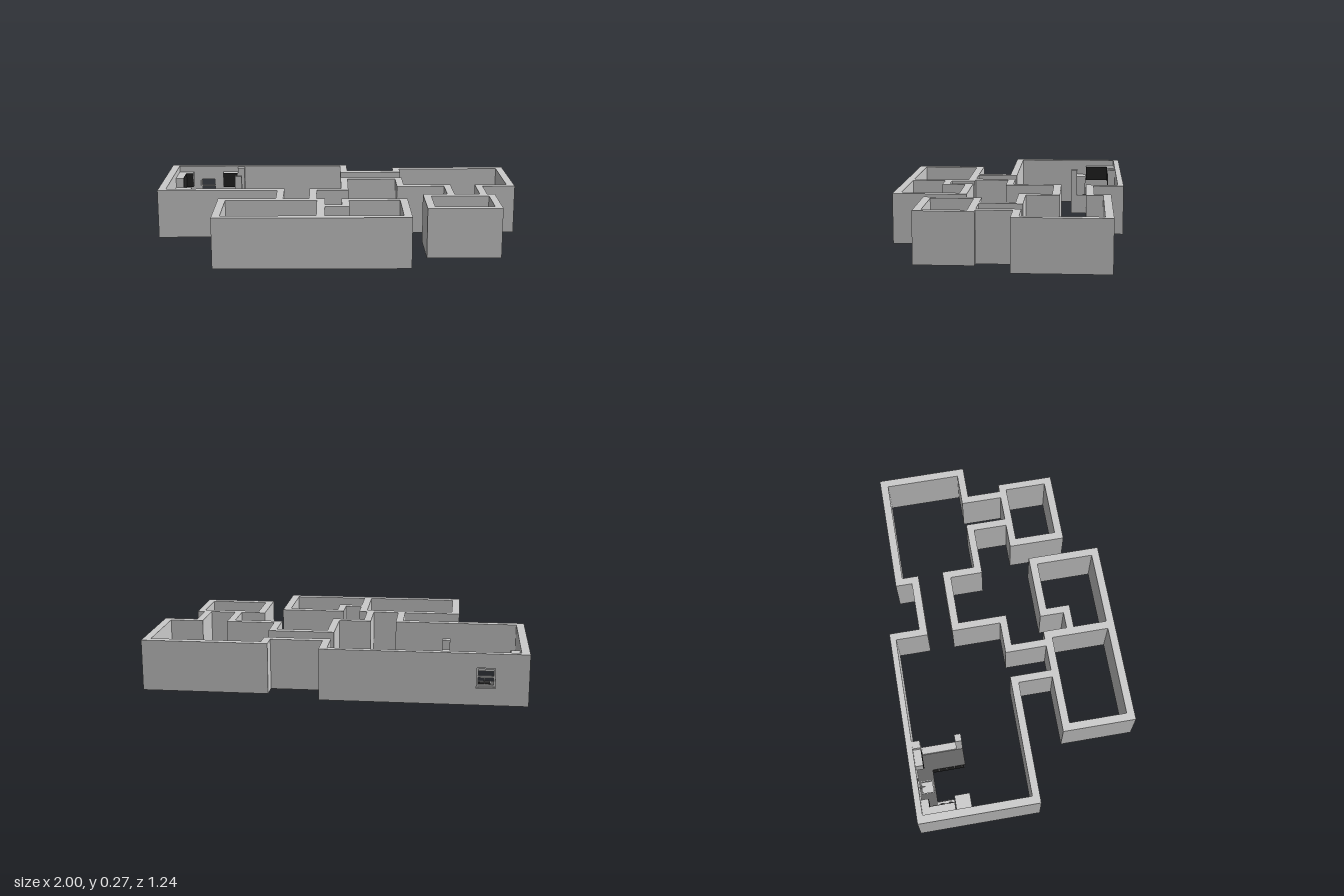
import * as THREE from 'three';

const H = 0.27; // wall height

const mat = (color) => new THREE.MeshStandardMaterial({ color, flatShading: true });
const grey = mat(0xcccccc);
const worktop = mat(0x606060);
const dark = mat(0x222222);

const points = (list) => list.map(([x, y]) => new THREE.Vector2(x, y));
const rect = (x0, y0, x1, y1) => [[x0, y0], [x1, y0], [x1, y1], [x0, y1]];

// Plan outline (x, z) with holes, raised from y0 to y1
function plan(name, outline, holes, y0, y1, material) {
  const shape = new THREE.Shape(points(outline));
  holes.forEach((h) => shape.holes.push(new THREE.Path(points(h))));
  const geo = new THREE.ExtrudeGeometry(shape, { depth: y1 - y0, bevelEnabled: false });
  geo.rotateX(Math.PI / 2).translate(0, y1, 0);
  const mesh = new THREE.Mesh(geo, material);
  mesh.name = name;
  return mesh;
}

// Box given by its limits on each axis
function box(name, [x0, x1], [y0, y1], [z0, z1], material = grey) {
  const mesh = new THREE.Mesh(new THREE.BoxGeometry(x1 - x0, y1 - y0, z1 - z0), material);
  mesh.position.set((x0 + x1) / 2, (y0 + y1) / 2, (z0 + z1) / 2);
  mesh.name = name;
  return mesh;
}

function createWalls() {
  const walls = new THREE.Group();
  walls.name = 'walls';
  // Big rooms and corridors: round the outside, then back along the inside;
  // the gap in the back wall is closed by the window panel
  const hallAndRooms = [
    [-0.65, -0.615], [0.06, -0.615], [0.06, -0.45], [0.335, -0.45], [0.335, -0.54], [1, -0.54],
    [1, -0.053], [0.818, -0.053], [0.818, 0.13], [0.778, 0.13], [0.778, -0.093], [0.958, -0.093],
    [0.958, -0.498], [0.375, -0.498], [0.375, -0.408], [0.02, -0.408], [0.02, -0.583], [-0.65, -0.583],
  ];
  const southRun = [
    [-0.9, -0.615], [-0.9, -0.583], [-0.957, -0.583], [-0.957, -0.005], [-0.295, -0.005], [-0.295, 0.22],
    [-0.335, 0.22], [-0.335, 0.035], [-1, 0.035], [-1, -0.615],
  ];
  const middleRun = [
    [-0.155, 0.22], [-0.155, -0.005], [0.02, -0.005], [0.02, -0.272], [0.375, -0.272], [0.375, -0.093],
    [0.64, -0.093], [0.64, 0.13], [0.6, 0.13], [0.6, -0.053], [0.335, -0.053], [0.335, -0.23],
    [0.06, -0.23], [0.06, 0.035], [-0.115, 0.035], [-0.115, 0.22],
  ];
  walls.add(
    plan('northEastWalls', hallAndRooms, [], 0, H, grey),
    plan('westWalls', southRun, [], 0, H, grey),
    plan('middleWalls', middleRun, [], 0, H, grey),
    plan('smallRoomWalls', rect(0.466, 0.13, 0.86, 0.436), [rect(0.508, 0.17, 0.822, 0.394)], 0, H, grey),
    plan('frontRoomWalls', [
      [-0.645, 0.22], [-0.07, 0.22], [-0.07, 0.35], [0.02, 0.35], [0.02, 0.22], [0.375, 0.22],
      [0.375, 0.615], [-0.645, 0.615],
    ], [
      rect(-0.603, 0.262, -0.113, 0.573),
      [[-0.07, 0.39], [0.06, 0.39], [0.06, 0.262], [0.333, 0.262], [0.333, 0.573], [-0.07, 0.573]],
    ], 0, H, grey),
  );
  // Back wall panel with the window opening
  const panel = new THREE.Shape(points(rect(-0.9, 0, -0.65, H)));
  panel.holes.push(new THREE.Path(points(rect(-0.83, 0.095, -0.737, 0.195))));
  const geo = new THREE.ExtrudeGeometry(panel, { depth: 0.032, bevelEnabled: false });
  const mesh = new THREE.Mesh(geo.translate(0, 0, -0.615), grey);
  mesh.name = 'windowWall';
  walls.add(mesh);
  return walls;
}

function createWindow() {
  const win = new THREE.Group();
  win.name = 'window';
  const z = [-0.606, -0.592];
  win.add(box('windowSill', [-0.833, -0.734], [0.091, 0.097], [-0.622, -0.585]));
  for (const y of [0.097, 0.142, 0.187]) win.add(box('windowRail', [-0.83, -0.737], [y, y + 0.008], z));
  for (const x of [-0.83, -0.745]) win.add(box('windowStile', [x, x + 0.008], [0.097, 0.195], z));
  return win;
}

function createKitchen() {
  const kitchen = new THREE.Group();
  kitchen.name = 'kitchen';
  const sink = rect(-0.808, -0.568, -0.747, -0.512);

  // Base cabinets with dark doors
  kitchen.add(
    box('backBaseCabinet', [-0.957, -0.6], [0, 0.055], [-0.583, -0.505]),
    box('backBaseDoors', [-0.865, -0.69], [0.01, 0.085], [-0.505, -0.501], dark),
    box('peninsulaCabinet', [-0.682, -0.6], [0, 0.087], [-0.505, -0.325]),
    box('peninsulaDoors', [-0.686, -0.682], [0.01, 0.085], [-0.5, -0.328], dark),
  );
  for (let i = 0; i < 4; i++) {
    const z = -0.465 + i * 0.042;
    kitchen.add(box('doorHandle', [-0.694, -0.686], [0.066, 0.07], [z - 0.003, z + 0.003]));
  }

  // Worktop running along the back and down the peninsula, with the sink cut out
  kitchen.add(
    plan('worktop', [
      [-0.957, -0.583], [-0.6, -0.583], [-0.6, -0.32], [-0.69, -0.32], [-0.69, -0.498], [-0.957, -0.498],
    ], [sink], 0.087, 0.095, worktop),
    plan('sinkRim', rect(-0.812, -0.572, -0.743, -0.508), [sink], 0.094, 0.097, grey),
    box('sinkBasin', [-0.812, -0.743], [0.055, 0.065], [-0.572, -0.508]),
    box('tap', [-0.781, -0.775], [0.095, 0.125], [-0.579, -0.573]),
    box('tapSpout', [-0.781, -0.775], [0.12, 0.125], [-0.573, -0.55]),
  );

  // Stove with four burners, and the refrigerator next to it
  kitchen.add(
    box('stove', [-0.957, -0.868], [0, 0.095], [-0.498, -0.408]),
    box('ovenDoor', [-0.868, -0.864], [0.015, 0.07], [-0.49, -0.416], dark),
    box('refrigerator', [-0.957, -0.865], [0, 0.18], [-0.405, -0.322]),
  );
  for (const x of [-0.932, -0.89]) for (const z of [-0.475, -0.431]) {
    const burner = new THREE.Mesh(new THREE.CylinderGeometry(0.014, 0.014, 0.004, 16), dark);
    burner.position.set(x, 0.097, z);
    burner.name = 'burner';
    kitchen.add(burner);
  }
  for (let i = 0; i < 4; i++) {
    const z = -0.483 + i * 0.02;
    kitchen.add(box('stoveKnob', [-0.868, -0.862], [0.08, 0.087], [z, z + 0.007]));
  }

  // Wall cabinets with dark doors
  const y = [0.15, 0.235];
  kitchen.add(
    box('leftWallCabinet', [-0.957, -0.914], y, [-0.583, -0.408]),
    box('leftWallDoors', [-0.914, -0.911], y, [-0.54, -0.41], dark),
    box('cornerWallCabinet', [-0.914, -0.87], y, [-0.583, -0.543]),
    box('cornerWallDoor', [-0.911, -0.872], y, [-0.543, -0.54], dark),
    box('rightWallCabinet', [-0.69, -0.6], y, [-0.583, -0.543]),
    box('rightWallDoors', [-0.688, -0.602], y, [-0.543, -0.54], dark),
  );

  // Divider: low wall between two full-height posts
  kitchen.add(
    box('dividerWall', [-0.6, -0.56], [0, 0.11], [-0.54, -0.355]),
    box('backPost', [-0.6, -0.56], [0, 0.265], [-0.583, -0.54]),
    box('frontPost', [-0.6, -0.56], [0, 0.265], [-0.355, -0.32]),
  );
  return kitchen;
}

export function createModel() {
  const model = new THREE.Group();
  model.name = 'floorPlan';
  model.add(createWalls(), createWindow(), createKitchen());
  model.position.z = 0.003;
  return model;
}
